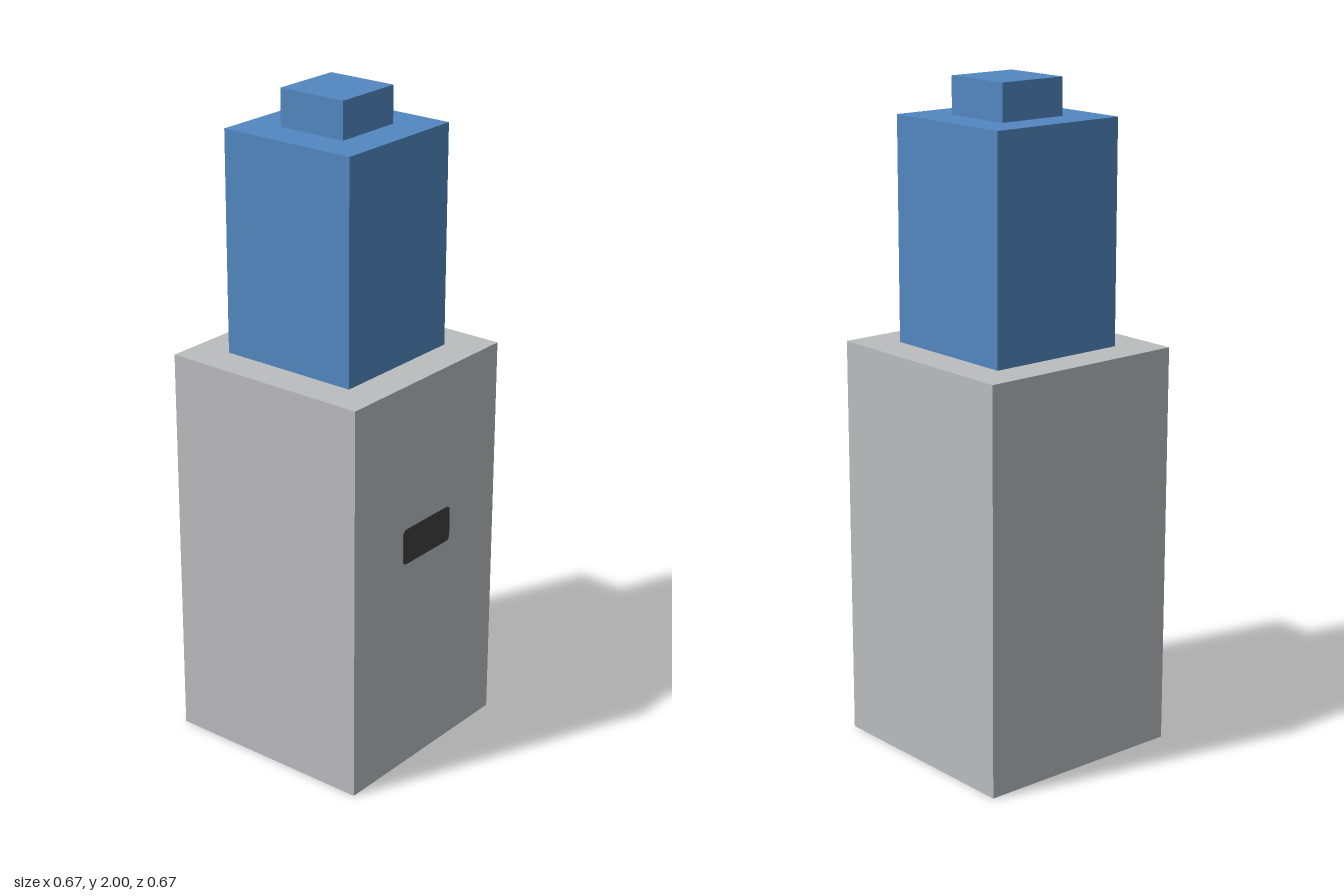
import * as THREE from 'three';

export function createModel() {
  const model = new THREE.Group();
  const material = (name, color) => {
    const m = new THREE.MeshStandardMaterial({ color });
    m.name = name;
    return m;
  };
  const grey = material('light grey', 0xbbbcbe);
  const blue = material('blue', 0x5288c2);
  const dark = material('charcoal', 0x404040);

  // All proportions are multiples of one ninth of a unit
  const U = 1 / 9;

  // Stacked square blocks, from the ground up
  let y = 0;
  const addBlock = (name, width, height, mat) => {
    const block = new THREE.Mesh(new THREE.BoxGeometry(width * U, height * U, width * U), mat);
    block.name = name;
    block.position.y = (y + height / 2) * U;
    y += height;
    model.add(block);
  };
  addBlock('body', 6, 11, grey);
  addBlock('neck', 4, 6, blue);
  addBlock('topButton', 2, 1, blue);

  // Small round-cornered plate on the front of the body
  const w = U, h = U / 2, r = 0.015;
  const outline = new THREE.Shape();
  outline.absarc(w - r, h - r, r, 0, Math.PI / 2);
  outline.absarc(-w + r, h - r, r, Math.PI / 2, Math.PI);
  outline.absarc(-w + r, -h + r, r, Math.PI, Math.PI * 1.5);
  outline.absarc(w - r, -h + r, r, Math.PI * 1.5, Math.PI * 2);
  outline.closePath();
  const plate = new THREE.Mesh(
    new THREE.ExtrudeGeometry(outline, { depth: 0.002, bevelEnabled: false, curveSegments: 4 }),
    dark
  );
  plate.name = 'frontPlate';
  plate.position.set(0, 6.5 * U, 3 * U);
  model.add(plate);

  return model;
}
